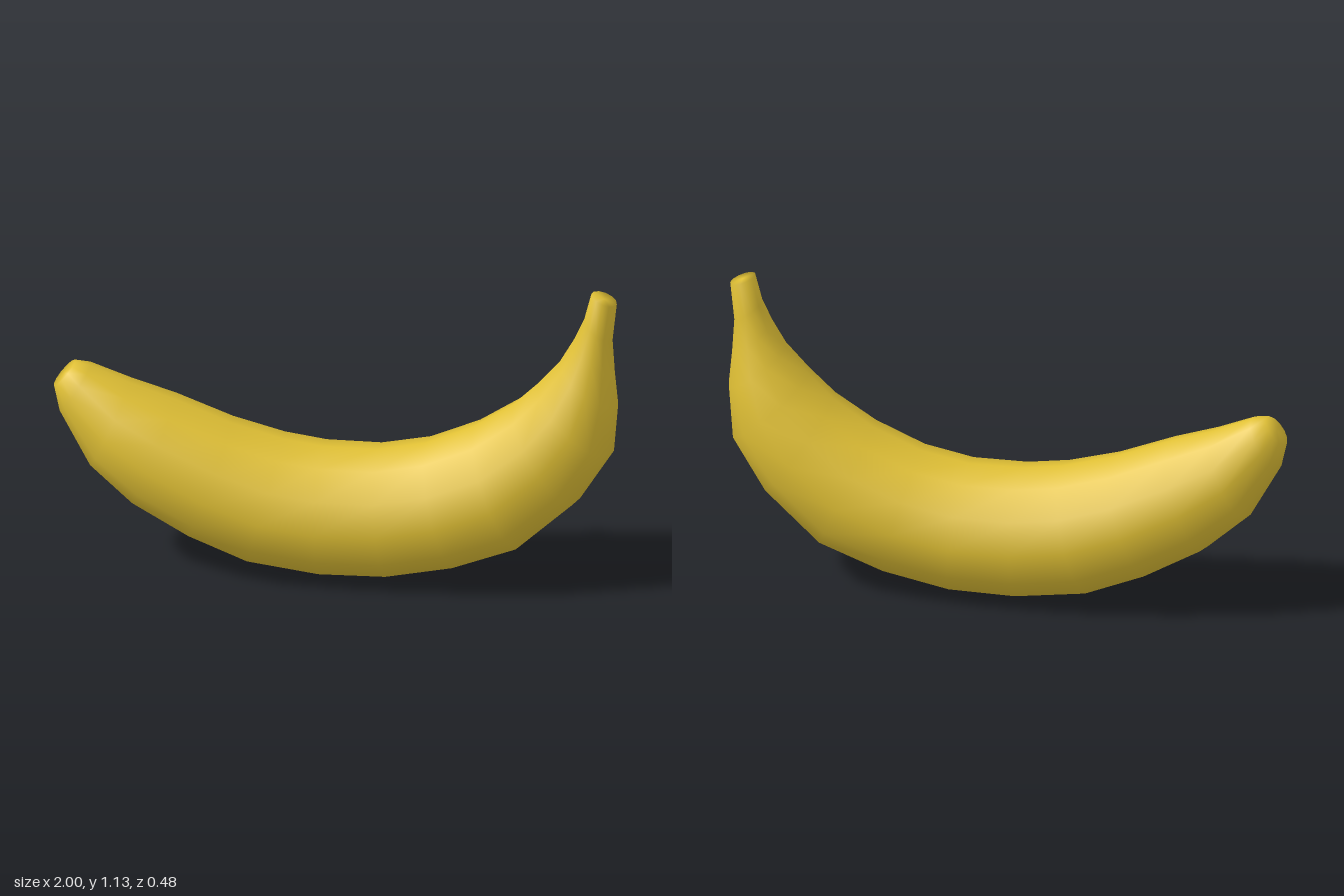
import * as THREE from 'three';

const SIDES = 12;

// One row per round cross-section, blunt tip to stem:
// outer (lower) edge x, y, then inner (upper) edge x, y
const RINGS = [
  [-1.0, 0.665, -0.925, 0.755],
  [-0.98, 0.575, -0.87, 0.745],
  [-0.87, 0.375, -0.73, 0.685],
  [-0.72, 0.24, -0.57, 0.63],
  [-0.52, 0.125, -0.37, 0.55],
  [-0.31, 0.04, -0.19, 0.5],
  [-0.05, 0.005, -0.05, 0.48],
  [0.19, 0.01, 0.14, 0.48],
  [0.43, 0.06, 0.31, 0.515],
  [0.66, 0.15, 0.48, 0.59],
  [0.86, 0.335, 0.62, 0.685],
  [0.98, 0.53, 0.71, 0.775],
  [0.995, 0.715, 0.79, 0.87],
  [0.983, 0.84, 0.84, 0.96],
  [0.975, 0.965, 0.875, 1.04],
  [0.99, 1.105, 0.9, 1.14],
];

function bananaGeometry() {
  const positions = [];
  const index = [];

  // Circles spanning each outer/inner pair
  for (const [ox, oy, ix, iy] of RINGS) {
    const radius = Math.hypot(ix - ox, iy - oy) / 2;
    for (let k = 0; k < SIDES; k++) {
      const a = (k / SIDES) * Math.PI * 2;
      const c = Math.cos(a) / 2;
      positions.push(
        (ox + ix) / 2 + c * (ix - ox),
        (oy + iy) / 2 + c * (iy - oy),
        radius * Math.sin(a)
      );
    }
  }

  // Skin between neighbouring circles
  const last = RINGS.length - 1;
  for (let i = 0; i < last; i++) {
    for (let k = 0; k < SIDES; k++) {
      const n = (k + 1) % SIDES;
      const a = i * SIDES + k, b = i * SIDES + n;
      index.push(a, b, a + SIDES, b, b + SIDES, a + SIDES);
    }
  }

  // Closed ends: blunt tip and cut stem
  for (const ring of [0, last]) {
    const [ox, oy, ix, iy] = RINGS[ring];
    const centre = positions.length / 3;
    positions.push((ox + ix) / 2, (oy + iy) / 2, 0);
    for (let k = 0; k < SIDES; k++) {
      const a = ring * SIDES + k, b = ring * SIDES + ((k + 1) % SIDES);
      if (ring === 0) index.push(centre, b, a);
      else index.push(centre, a, b);
    }
  }

  const geometry = new THREE.BufferGeometry();
  geometry.setAttribute('position', new THREE.Float32BufferAttribute(positions, 3));
  geometry.setIndex(index);
  geometry.computeVertexNormals();
  return geometry;
}

export function createModel() {
  const group = new THREE.Group();
  group.name = 'banana';
  const peel = new THREE.Mesh(
    bananaGeometry(),
    new THREE.MeshStandardMaterial({ color: 0xe0c035 })
  );
  peel.name = 'peel';
  group.add(peel);
  return group;
}
